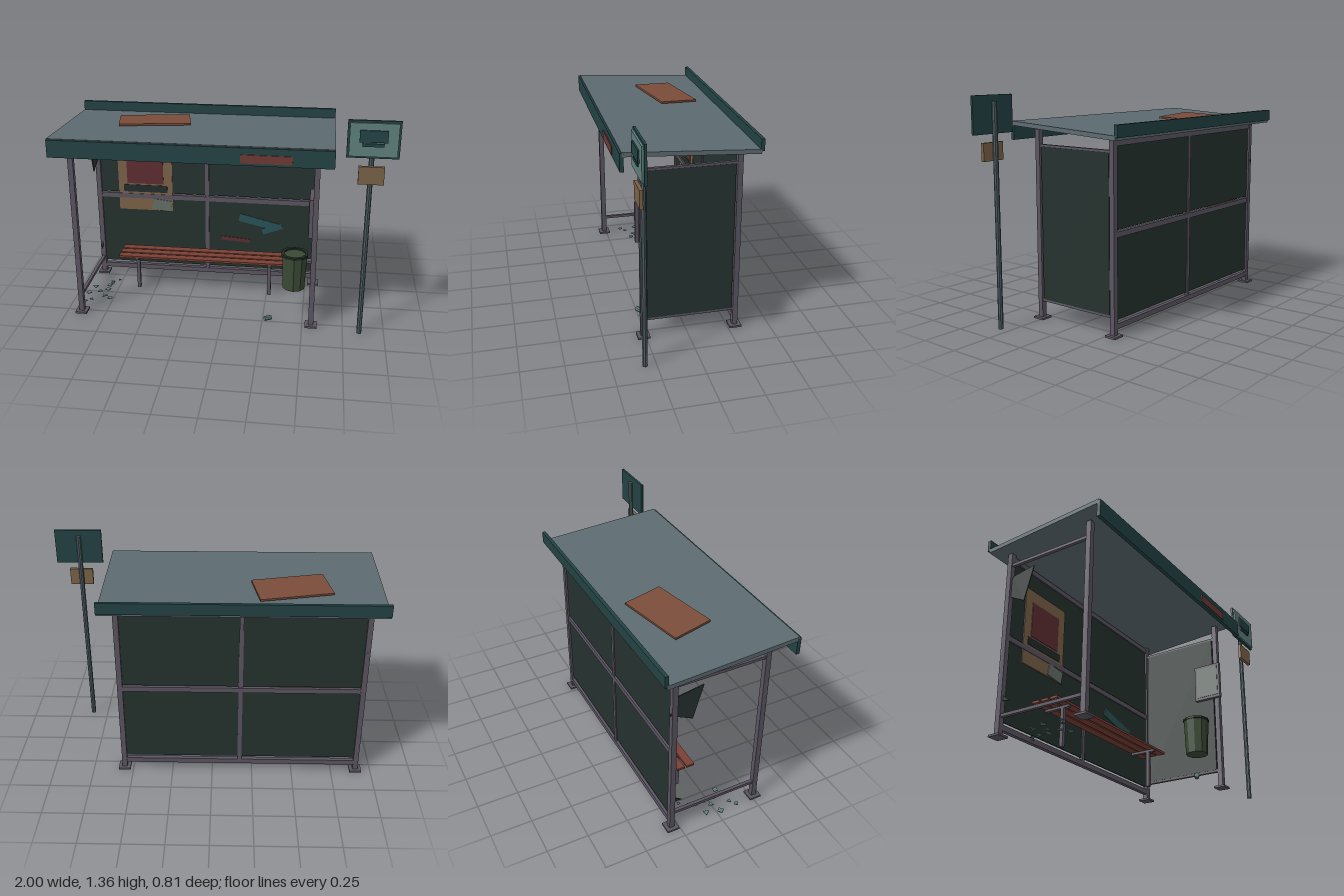
import * as THREE from 'three';

const mat = (color) => new THREE.MeshStandardMaterial({ color, flatShading: true });
const M = {
  metal: mat(0x5a5460), glass: mat(0x25322f), roof: mat(0x5c6a70), trim: mat(0x234243),
  rust: mat(0x7a4c3a), wood: mat(0x7a4034), tan: mat(0x7a6248), red: mat(0x5e2d32),
  dark: mat(0x222c2c), teal: mat(0x2a5356), pale: mat(0x5f7f7d), paper: mat(0x667068),
  pole: mat(0x4e5c62), patch: mat(0x6e3a34), bin: mat(0x3a4a34), rim: mat(0x232b24),
};
M.shard = mat(0x25322f);
M.shard.side = THREE.DoubleSide;

export function createModel() {
  const root = new THREE.Group();

  function add(name, geo, material, x, y, z, parent = root) {
    const m = new THREE.Mesh(geo, material);
    m.name = name;
    m.position.set(x, y, z);
    parent.add(m);
    return m;
  }
  // Box given by its lower and upper limits on each axis
  const box = (name, material, [x0, x1], [y0, y1], [z0, z1], parent) =>
    add(name, new THREE.BoxGeometry(x1 - x0, y1 - y0, z1 - z0), material,
      (x0 + x1) / 2, (y0 + y1) / 2, (z0 + z1) / 2, parent);

  const XL = -0.905, XR = 0.555, ZF = 0.265, ZB = -0.295, H = 0.016;

  // Corner posts with base plates
  for (const x of [XL, XR]) {
    for (const [z, top] of [[ZF, 1.147], [ZB, 1.13]]) {
      box('post', M.metal, [x - H, x + H], [0, top], [z - H, z + H]);
      box('basePlate', M.metal, [x - 0.037, x + 0.037], [0, 0.012], [z - 0.037, z + 0.037]);
    }
    // Side rails
    for (const y of [0.12, 1.052]) {
      box('sideRail', M.metal, [x - 0.01, x + 0.01], [y - 0.009, y + 0.009], [ZB + H, ZF - H]);
    }
  }

  // Back frame
  for (const y of [0.06, 0.59, 1.1]) {
    box('backRail', M.metal, [XL + H, XR - H], [y - 0.016, y + 0.016], [ZB - 0.013, ZB + 0.013]);
  }
  box('backMullion', M.metal, [-0.184, -0.159], [0.076, 1.09], [ZB - 0.011, ZB + 0.011]);

  // Glass panels
  for (const [x0, x1] of [[-0.89, -0.182], [-0.161, 0.54]]) {
    box('backGlass', M.glass, [x0, x1], [0.095, 0.576], [ZB - 0.004, ZB + 0.004]);
    box('backGlass', M.glass, [x0, x1], [0.614, 1.086], [ZB - 0.004, ZB + 0.004]);
  }
  box('sideGlass', M.glass, [XR - 0.011, XR + 0.011], [0.125, 1.048], [-0.272, 0.24]);

  // Shards left in the broken left side
  function frameShard(points) {
    const shape = new THREE.Shape(points.map(([z, y]) => new THREE.Vector2(-z, y)));
    const geo = new THREE.ExtrudeGeometry(shape, { depth: 0.006, bevelEnabled: false });
    geo.rotateY(Math.PI / 2);
    add('brokenGlass', geo, M.shard, XL - 0.003, 0, 0);
  }
  frameShard([[-0.27, 0.975], [-0.12, 1.0], [-0.18, 0.79], [-0.318, 0.86]]);
  frameShard([[-0.278, 0.235], [-0.23, 0.2], [-0.278, 0.205]]);

  // Sloping roof with a rusty sheet lying on it
  const roof = new THREE.Group();
  roof.name = 'roof';
  roof.position.y = 1.16;
  roof.rotation.x = -0.058;
  root.add(roof);
  box('roofSlab', M.roof, [-1, 0.65], [-0.013, 0.013], [-0.388, 0.388], roof);
  const sheet = add('roofSheet', new THREE.BoxGeometry(0.437, 0.012, 0.242), M.rust, -0.465, 0.026, -0.104, roof);
  sheet.rotation.y = 0.197;

  // Fascia boards
  box('frontFascia', M.trim, [-1, 0.65], [1.085, 1.19], [0.376, 0.398]);
  box('backFascia', M.trim, [-1, 0.65], [1.14, 1.21], [-0.402, -0.381]);
  box('fasciaPatch', M.patch, [0.12, 0.415], [1.1, 1.15], [0.398, 0.403]);

  // Poster on the back glass
  const zg = ZB + 0.004;
  box('posterBoard', M.tan, [-0.77, -0.405], [0.49, 0.98], [zg, zg + 0.006]);
  box('posterPicture', M.red, [-0.71, -0.465], [0.68, 0.903], [zg + 0.006, zg + 0.009]);
  box('posterStrip', M.dark, [-0.735, -0.44], [0.62, 0.67], [zg + 0.006, zg + 0.009]);
  const torn = new THREE.Shape([[-0.55, 0.5], [-0.47, 0.49], [-0.42, 0.485], [-0.405, 0.56], [-0.53, 0.575]]
    .map(([x, y]) => new THREE.Vector2(x, y)));
  add('tornPaper', new THREE.ExtrudeGeometry(torn, { depth: 0.004, bevelEnabled: false }), M.paper, 0, 0, zg + 0.007);

  // Paint stripes on the back glass
  for (const [x, y, w, h, a, m] of [
    [0.172, 0.437, 0.26, 0.052, -0.24, M.teal],
    [0.268, 0.393, 0.14, 0.04, 0.36, M.teal],
    [0.022, 0.302, 0.195, 0.026, -0.08, M.red]]) {
    add('paintStripe', new THREE.BoxGeometry(w, h, 0.004), m, x, y, zg + 0.003).rotation.z = a;
  }

  // Bench
  for (let i = 0; i < 3; i++) {
    const z = -0.2 + i * 0.062;
    box('benchSlat', M.wood, [-0.733, 0.39], [0.236, 0.25], [z - 0.025, z + 0.025]);
  }
  for (const x of [-0.613, 0.268]) {
    box('benchLeg', M.metal, [x - 0.011, x + 0.011], [0, 0.228], [-0.111, -0.089]);
    box('benchBracket', M.metal, [x - 0.011, x + 0.011], [0.222, 0.236], [-0.22, -0.055]);
  }

  // Litter bin hung on the side
  const zBin = 0.16;
  add('binBody', new THREE.CylinderGeometry(0.08, 0.07, 0.225, 10), M.bin, 0.438, 0.322, zBin);
  const rim = new THREE.LatheGeometry([[0.066, 0.43], [0.085, 0.43], [0.085, 0.444], [0.066, 0.444], [0.066, 0.43]]
    .map(([r, y]) => new THREE.Vector2(r, y)), 10);
  add('binRim', rim, M.rim, 0.438, 0, zBin);
  box('binBracket', M.metal, [0.5, 0.545], [0.385, 0.4], [zBin - 0.02, zBin + 0.02]);

  // Timetable case inside the side panel
  box('timetableCase', M.metal, [0.517, 0.541], [0.612, 0.855], [0.12, 0.3]);
  box('timetableSheet', M.paper, [0.514, 0.517], [0.63, 0.838], [0.135, 0.285]);

  // Stop sign pole and boards
  add('signPole', new THREE.CylinderGeometry(0.015, 0.015, 1.32, 8), M.pole, 0.85, 0.66, 0.315);
  box('signBoard', M.trim, [0.708, 1], [1.138, 1.355], [0.323, 0.337]);
  box('signFace', M.pale, [0.72, 0.988], [1.15, 1.343], [0.337, 0.348]);
  box('signSymbol', M.trim, [0.775, 0.93], [1.235, 1.303], [0.348, 0.356]);
  box('signSymbolBase', M.trim, [0.793, 0.912], [1.21, 1.228], [0.348, 0.356]);
  box('routePlate', M.tan, [0.78, 0.925], [0.985, 1.09], [0.33, 0.349]);

  // Crushed can on the ground
  const can = add('can', new THREE.CylinderGeometry(0.015, 0.015, 0.045, 8), M.pale, 0.285, 0.016, 0.235);
  can.rotation.set(0, 0.5, Math.PI / 2);

  // Glass fragments on the ground
  let seed = 7;
  const rand = () => (seed = (seed * 16807) % 2147483647) / 2147483647;
  for (let i = 0; i < 12; i++) {
    const r = 0.012 + rand() * 0.012;
    const x = -0.955 + rand() * 0.2;
    const z = -0.17 + (i / 11) * 0.31;
    const piece = add('glassFragment', new THREE.CylinderGeometry(r, r, 0.005, 3 + (i % 2)), M.pale, x, 0.003, z);
    piece.rotation.y = rand() * 6;
  }
  return root;
}
